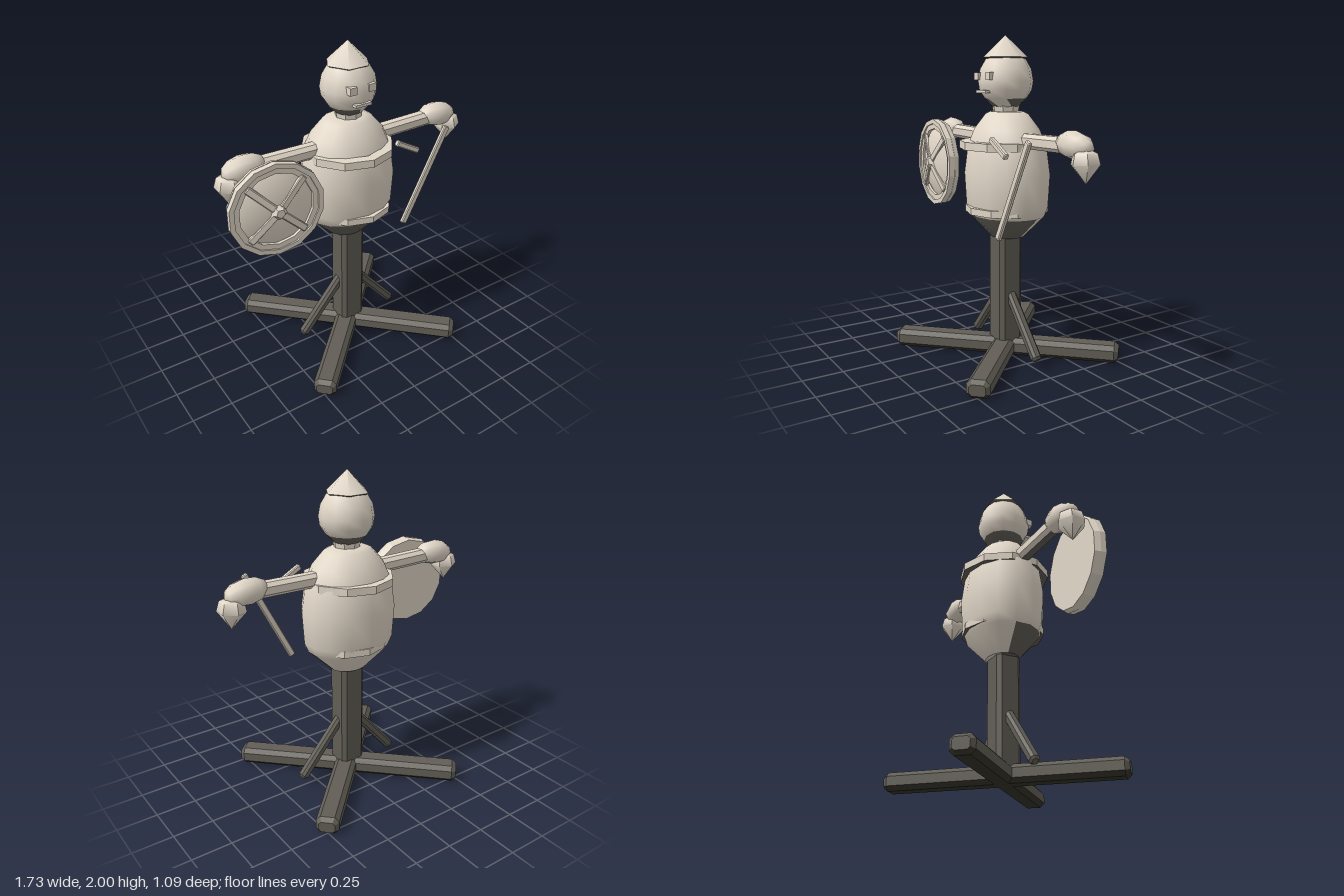
import * as THREE from 'three';
import { toCreasedNormals } from 'three/addons/utils/BufferGeometryUtils.js';

const paleWood = new THREE.MeshStandardMaterial({ color: 0xe1d7c8 });
paleWood.name = 'pale wood';
const darkWood = new THREE.MeshStandardMaterial({ color: 0x625e56 });
darkWood.name = 'dark wood';
const blackWood = new THREE.MeshStandardMaterial({ color: 0x35342a });
blackWood.name = 'blackened wood';

const FLAT = 0.05;

// Gives the faces that pass the test a second colour; test(normal, centre)
function paint(mesh, material, test) {
  const position = mesh.geometry.attributes.position;
  const tri = new THREE.Triangle(), normal = new THREE.Vector3(), centre = new THREE.Vector3();
  mesh.updateMatrix();
  mesh.geometry.clearGroups();
  for (let i = 0; i < position.count; i += 3) {
    tri.setFromAttributeAndIndices(position, i, i + 1, i + 2);
    for (const corner of [tri.a, tri.b, tri.c]) corner.applyMatrix4(mesh.matrix);
    const index = test(tri.getNormal(normal), tri.getMidpoint(centre)) ? 1 : 0;
    const last = mesh.geometry.groups.at(-1);
    if (last && last.materialIndex === index) last.count += 3;
    else mesh.geometry.addGroup(i, 3, index);
  }
  mesh.material = [mesh.material, material];
}

const underside = (normal) => normal.y < -0.5;

export function createModel() {
  const model = new THREE.Group();
  model.name = 'trainingDummy';

  // Adds a mesh; edges sharper than the crease angle stay hard
  function add(name, geometry, material, position = [0, 0, 0], crease = FLAT, parent = model) {
    const mesh = new THREE.Mesh(toCreasedNormals(geometry, crease), material);
    mesh.name = name;
    mesh.position.set(...position);
    parent.add(mesh);
    return mesh;
  }

  // Timber with chamfered edges and ends, running from a to b
  function beam(name, a, b, width, height, c, material, parent = model) {
    const start = new THREE.Vector3(...a), end = new THREE.Vector3(...b);
    const x = width / 2, y = height / 2;
    const outline = [[x - c, -y], [x, -y + c], [x, y - c], [x - c, y],
      [-x + c, y], [-x, y - c], [-x, -y + c], [-x + c, -y]];
    const shape = new THREE.Shape(outline.map(([u, v]) => new THREE.Vector2(u, v)));
    const geometry = new THREE.ExtrudeGeometry(shape, {
      depth: start.distanceTo(end) - 2 * c, bevelThickness: c,
      bevelSize: c * 0.8, bevelOffset: -c * 0.8, bevelSegments: 1,
    });
    geometry.translate(0, 0, c);
    const mesh = new THREE.Mesh(toCreasedNormals(geometry, FLAT), material);
    mesh.name = name;
    mesh.position.copy(start);
    mesh.lookAt(end);
    parent.add(mesh);
    return mesh;
  }

  const lathe = (points, segments) =>
    new THREE.LatheGeometry(points.map(([r, y]) => new THREE.Vector2(r, y)), segments);

  // Closed band with a rectangular section
  const band = (inner, outer, height, segments) => lathe([
    [inner, -height / 2], [outer, -height / 2], [outer, height / 2],
    [inner, height / 2], [inner, -height / 2]], segments);

  // Crossed feet with blackened undersides, post and braces
  const d = 0.513, cx = 0.005;
  for (const s of [-1, 1]) {
    const foot = beam('footBeam', [cx - d, 0.055, -s * d], [cx + d, 0.055, s * d],
      0.14, 0.11, 0.027, darkWood);
    paint(foot, blackWood, underside);
  }
  beam('post', [cx, 0.05, 0], [cx, 0.85, 0], 0.165, 0.16, 0.025, darkWood);
  for (const s of [-1, 1]) {
    beam('brace', [cx + s * 0.035, 0.43, 0], [cx + s * 0.355, 0.06, 0],
      0.06, 0.06, 0.015, darkWood);
  }

  // Barrel body, dark low on the front, with two hoops
  const barrel = lathe([[0, 0.76], [0.12, 0.77], [0.27, 0.91], [0.295, 0.97], [0.308, 1.17],
    [0.282, 1.34], [0.235, 1.44], [0.155, 1.53], [0.12, 1.545], [0, 1.55]], 14);
  barrel.scale(1, 1, 0.81);
  const body = add('body', barrel, paleWood, [cx, 0, -0.01], 0.65);
  paint(body, darkWood, (n, p) => p.y < 0.9 && p.z > -0.04);
  const upperHoop = add('upperHoop', band(0.22, 0.283, 0.048, 10), paleWood, [0, 1.345, 0]);
  const lowerHoop = add('lowerHoop', band(0.2, 0.258, 0.042, 10), paleWood, [0.02, 0.95, 0]);

  // Neck, head with a dark jaw, and face
  add('neck', new THREE.CylinderGeometry(0.085, 0.075, 0.06, 8), paleWood, [0.008, 1.55, 0]);
  const head = add('head', lathe([[0, 1.565], [0.075, 1.57], [0.128, 1.625], [0.16, 1.675],
    [0.168, 1.73], [0.155, 1.8], [0.12, 1.86], [0, 1.9]], 12), paleWood, [0.008, 0, 0], 0.75);
  paint(head, darkWood, (n, p) => p.y < 1.625 && !(p.x > 0.04 && p.z > 0.03));
  for (const s of [-1, 1]) {
    add('eye', new THREE.BoxGeometry(0.047, 0.045, 0.05), paleWood, [s * 0.065, 1.757, 0.14]);
  }
  add('mouth', new THREE.BoxGeometry(0.11, 0.017, 0.05), paleWood, [0, 1.666, 0.147]);

  // Pointed six-sided cap, softly shaded, with a sloping underside
  const cone = lathe([[0, 1.84], [0.1, 1.85], [0.135, 1.87], [0, 2]], 6);
  cone.rotateY(Math.PI / 6);
  const cap = add('cap', cone, paleWood, [0.004, 0, 0], 0.95);
  for (const part of [upperHoop, lowerHoop, cap]) paint(part, darkWood, underside);

  // Arms, gloves and fists
  for (const s of [-1, 1]) {
    const arm = new THREE.Group();
    arm.name = s > 0 ? 'leftArm' : 'rightArm';
    model.add(arm);
    const bar = beam('armBar', [s * 0.1, 1.38, 0], [s * 0.72, 1.39, 0],
      0.09, 0.088, 0.022, paleWood, arm);
    paint(bar, darkWood, (n) => n.y < -0.9);
    const glove = new THREE.SphereGeometry(1, 8, 6);
    glove.rotateZ(Math.PI / 2);
    glove.scale(0.135, 0.08, 0.082);
    add('glove', glove, paleWood, [s * 0.69, 1.395, 0], 1, arm).rotation.z = s * -0.1;
    const fist = lathe([[0, -0.105], [0.085, 0], [0.07, 0.06], [0, 0.09]], 6);
    add('fist', fist, paleWood, [s * 0.785, 1.3, 0], 1, arm).rotation.z = s * 0.06;
  }

  // Round shield, built facing +z
  const shield = new THREE.Group();
  shield.name = 'shield';
  shield.position.set(-0.587, 1.185, 0.16);
  shield.rotation.y = -0.1;
  model.add(shield);
  const disc = (inner, outer, depth, n) => band(inner, outer, depth, n).rotateX(Math.PI / 2);
  add('shieldBack', new THREE.CylinderGeometry(0.278, 0.29, 0.035, 14).rotateX(-Math.PI / 2),
    paleWood, [0, 0, -0.018], FLAT, shield);
  add('shieldRim', disc(0.258, 0.288, 0.036, 14), paleWood, [0, 0, 0.018], FLAT, shield);
  add('shieldInnerRim', disc(0.225, 0.26, 0.02, 14), paleWood, [0, 0, 0.016], FLAT, shield);
  const dome = lathe([[0.235, 0], [0.19, 0.025], [0.1, 0.046], [0, 0.053]], 20);
  add('shieldDome', dome.rotateX(Math.PI / 2), paleWood, [0, 0, 0], 0.8, shield);
  for (let i = 0; i < 4; i++) {
    const a = Math.PI / 4 + i * Math.PI / 2;
    const x = Math.cos(a), y = Math.sin(a);
    beam('shieldRib', [x * 0.03, y * 0.03, 0.05], [x * 0.24, y * 0.24, 0.022],
      0.026, 0.044, 0.005, paleWood, shield);
  }
  add('shieldBoss', new THREE.CylinderGeometry(0.028, 0.054, 0.035, 5).rotateX(Math.PI / 2),
    paleWood, [0, 0, 0.063], FLAT, shield);

  // Wooden sword: blade and separate guard
  beam('swordBlade', [0.275, 0.825, 0.224], [0.585, 1.415, 0.224], 0.027, 0.042, 0.006, paleWood);
  beam('swordGuard', [0.202, 1.4, 0.224], [0.365, 1.31, 0.224], 0.032, 0.036, 0.006, paleWood);

  return model;
}
